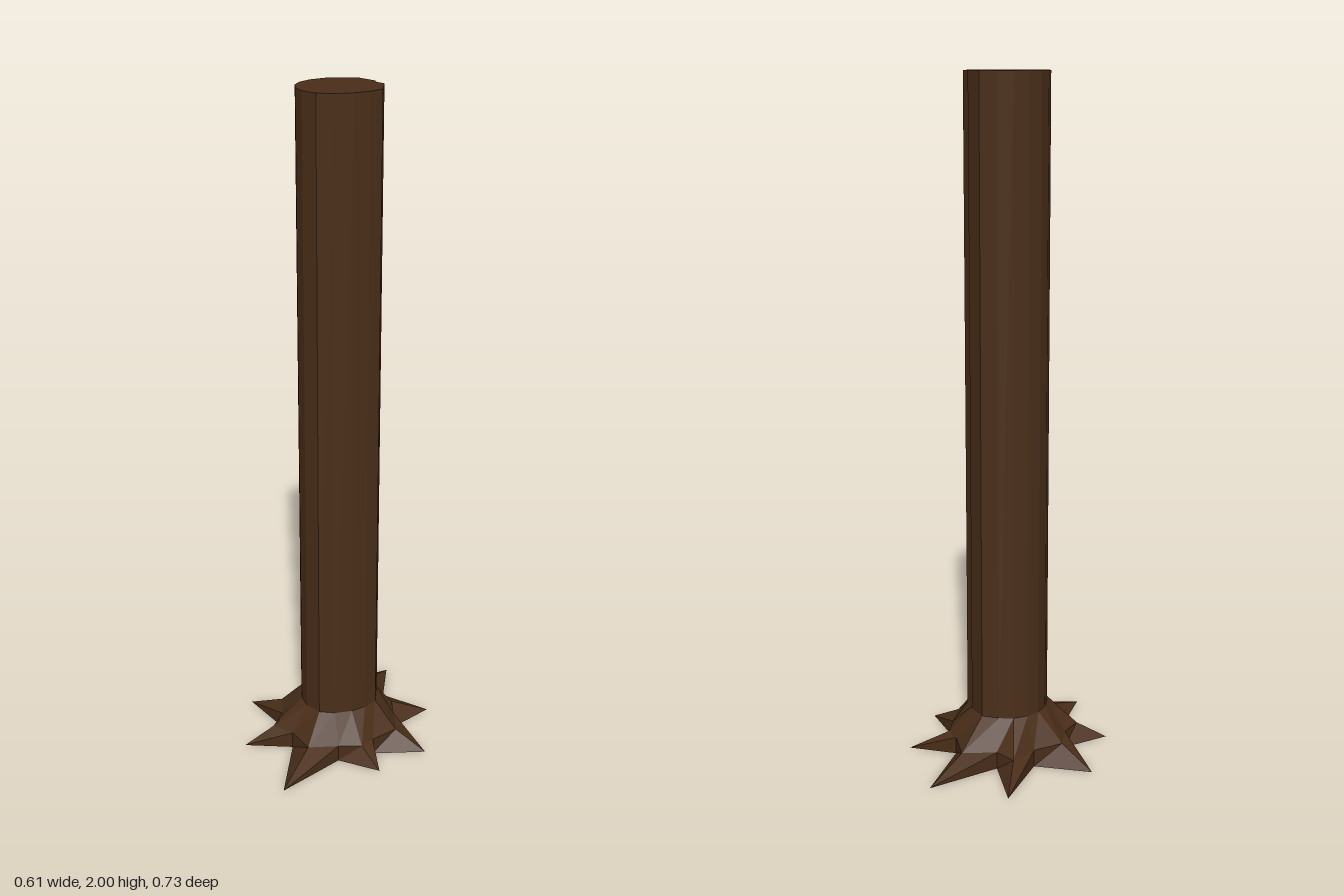
import * as THREE from 'three';

const bark = new THREE.MeshStandardMaterial({ color: 0x4a2e19, flatShading: true, side: THREE.DoubleSide });

// Outlines as [x, z] pairs, going from +x towards +z; roots and valleys alternate
const tips = [[0.305, 0], [0.22, 0.15], [0.007, 0.363], [-0.207, 0.216], [-0.305, 0], [-0.207, -0.274], [0.007, -0.366], [0.22, -0.212]];
const knees = [[0.205, 0], [0.15, 0.127], [0.007, 0.205], [-0.141, 0.152], [-0.188, 0.01], [-0.141, -0.165], [0.007, -0.222], [0.13, -0.134]];
const valleys = [[0.164, 0.08], [0.086, 0.158], [-0.071, 0.159], [-0.149, 0.08], [-0.149, -0.076], [-0.071, -0.154], [0.086, -0.154], [0.164, -0.076]];
const stem = [
  [0.135, 0], [0.12, 0.043], [0.094, 0.082], [0.053, 0.115], [0.007, 0.13], [-0.042, 0.115], [-0.077, 0.084], [-0.1, 0.043],
  [-0.108, 0], [-0.1, -0.043], [-0.077, -0.082], [-0.042, -0.107], [0.007, -0.126], [0.063, -0.105], [0.075, -0.088], [0.104, -0.076],
];

const weave = (a, b) => a.flatMap((p, i) => [p, b[i]]);
const ring = (outline, y) => outline.map(([x, z]) => [x, y, z]);

// Joins stacked rings with quads, optionally closing the last ring
function skin(rings, capped) {
  const n = rings[0].length;
  const index = [];
  for (let r = 0; r < rings.length - 1; r++) {
    for (let i = 0; i < n; i++) {
      const j = (i + 1) % n;
      const a = r * n + i, b = r * n + j;
      index.push(b, a, a + n, b, a + n, b + n);
    }
  }
  const points = rings.flat();
  if (capped) {
    const top = (rings.length - 1) * n;
    points.push([0.01, rings.at(-1)[0][1], 0]);
    for (let i = 0; i < n; i++) index.push(points.length - 1, top + (i + 1) % n, top + i);
  }
  const geometry = new THREE.BufferGeometry();
  geometry.setAttribute('position', new THREE.Float32BufferAttribute(points.flat(), 3));
  geometry.setIndex(index);
  const flat = geometry.toNonIndexed();
  flat.computeVertexNormals();
  return flat;
}

export function createModel() {
  const group = new THREE.Group();
  group.name = 'treeTrunk';

  // Flared base with pointed roots, open underneath
  const roots = new THREE.Mesh(skin([
    ring(weave(tips, valleys), 0),
    ring(weave(knees, valleys), 0.052),
    ring(stem, 0.135),
  ], false), bark);
  roots.name = 'roots';

  // Straight faceted trunk with a flat cut top
  const trunk = new THREE.Mesh(skin([ring(stem, 0.135), ring(stem, 2)], true), bark);
  trunk.name = 'trunk';

  group.add(roots, trunk);
  return group;
}
